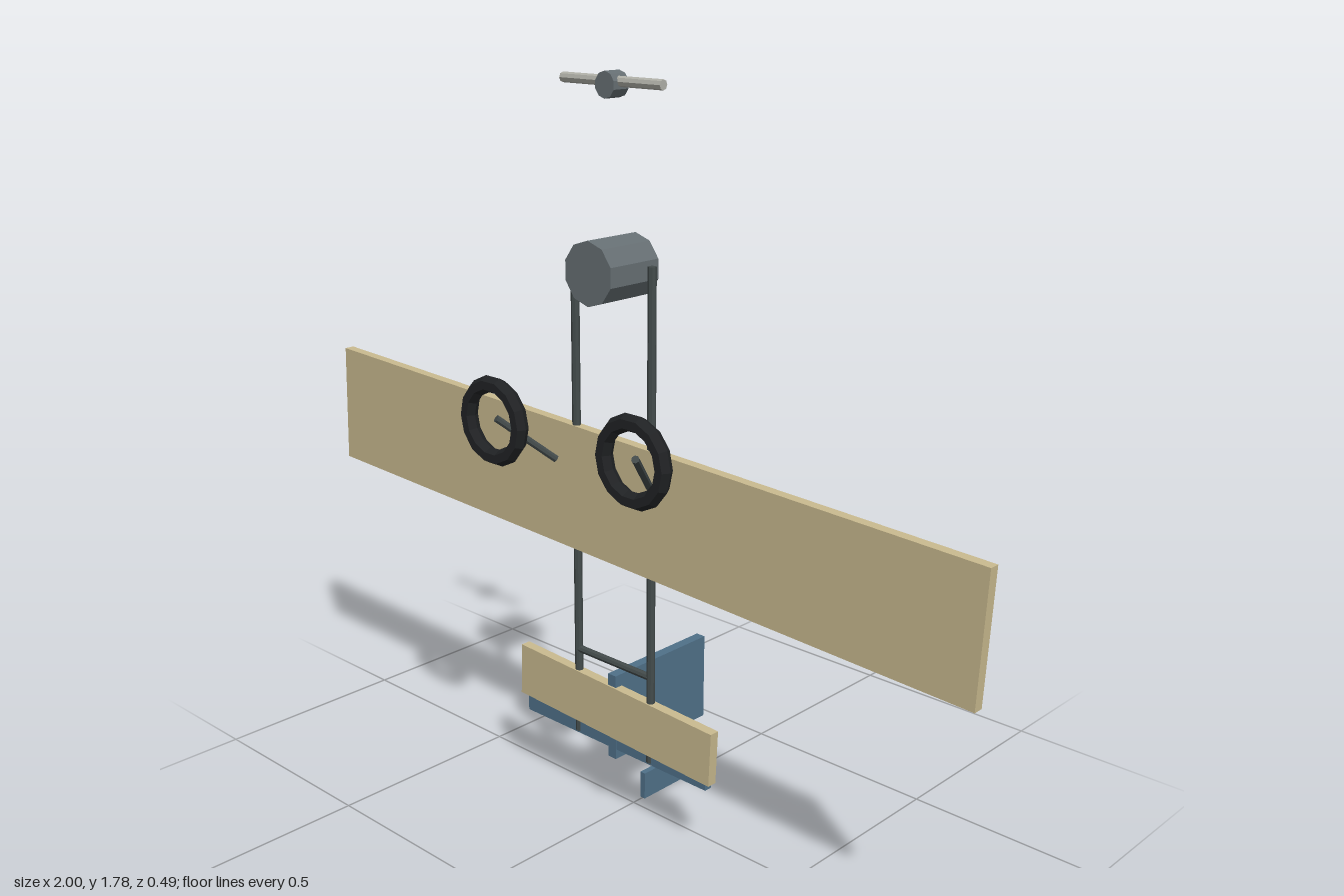
import * as THREE from 'three';

const PLANE = 0.067; // z of the airframe plane
const TILT = -0.04; // slight roll of the wing and stabilizer

const mat = (color) => new THREE.MeshStandardMaterial({ color, flatShading: true });

export function createModel() {
  const model = new THREE.Group();
  model.name = 'propellerAircraft';

  const cream = mat(0xc8b98e);
  const blue = mat(0x4f7088);
  const frame = mat(0x434b4b);
  const metal = mat(0x666f73);
  const pale = mat(0xb0b0a8);
  const rubber = mat(0x202224);

  const add = (name, geometry, material, x, y, z) => {
    const mesh = new THREE.Mesh(geometry, material);
    mesh.name = name;
    mesh.position.set(x, y, z);
    model.add(mesh);
    return mesh;
  };
  const box = (name, material, w, h, d, x, y, z) =>
    add(name, new THREE.BoxGeometry(w, h, d), material, x, y, z);

  // Round rod between two points
  const rod = (name, a, b, radius, material) => {
    const from = new THREE.Vector3(...a);
    const to = new THREE.Vector3(...b);
    const dir = to.clone().sub(from);
    const mid = from.clone().add(to).multiplyScalar(0.5);
    const mesh = add(name, new THREE.CylinderGeometry(radius, radius, dir.length(), 8),
      material, mid.x, mid.y, mid.z);
    mesh.quaternion.setFromUnitVectors(new THREE.Vector3(0, 1, 0), dir.normalize());
    return mesh;
  };

  // Cylinder with its axis along z
  const drum = (name, radius, depth, y, z) =>
    add(name, new THREE.CylinderGeometry(radius, radius, depth, 10).rotateX(Math.PI / 2),
      metal, 0, y, z);

  // Lifting surfaces
  box('wing', cream, 1.985, 0.305, 0.025, 0, 0.815, PLANE).rotation.z = TILT;
  box('stabilizer', cream, 0.63, 0.134, 0.025, 0, 0.278, PLANE).rotation.z = TILT;

  // Control surfaces, just proud of the rear faces
  box('elevator', blue, 0.595, 0.08, 0.02, 0, 0.22, PLANE - 0.004);
  box('fin', blue, 0.025, 0.22, 0.32, 0, 0.265, -0.085);
  box('rudder', blue, 0.015, 0.07, 0.165, 0, 0.035, -0.115);

  // Parts mirrored left and right
  for (const [side, s] of [['left', 1], ['right', -1]]) {
    box(side + 'Aileron', blue, 0.515, 0.08, 0.016, s * 0.715, 0.798, PLANE - 0.0055);
    rod(side + 'Boom', [s * 0.119, 0.185, PLANE], [s * 0.119, 1.375, PLANE], 0.01, frame);
    rod(side + 'WheelStrut', [s * 0.15, 0.89, 0.105], [s * 0.22, 1.0, 0.225], 0.009, frame);
    add(side + 'Wheel', new THREE.TorusGeometry(0.087, 0.02, 6, 14), rubber, s * 0.22, 0.995, 0.231);
  }
  rod('boomCrossbar', [-0.119, 0.405, PLANE], [0.119, 0.405, PLANE], 0.009, frame);

  // Engine and propeller
  drum('engine', 0.073, 0.15, 1.353, 0.069);
  drum('propellerHub', 0.029, 0.045, 1.75, PLANE);
  rod('propellerBlade', [-0.149, 1.757, PLANE], [0.149, 1.757, PLANE], 0.0115, pale);

  return model;
}
